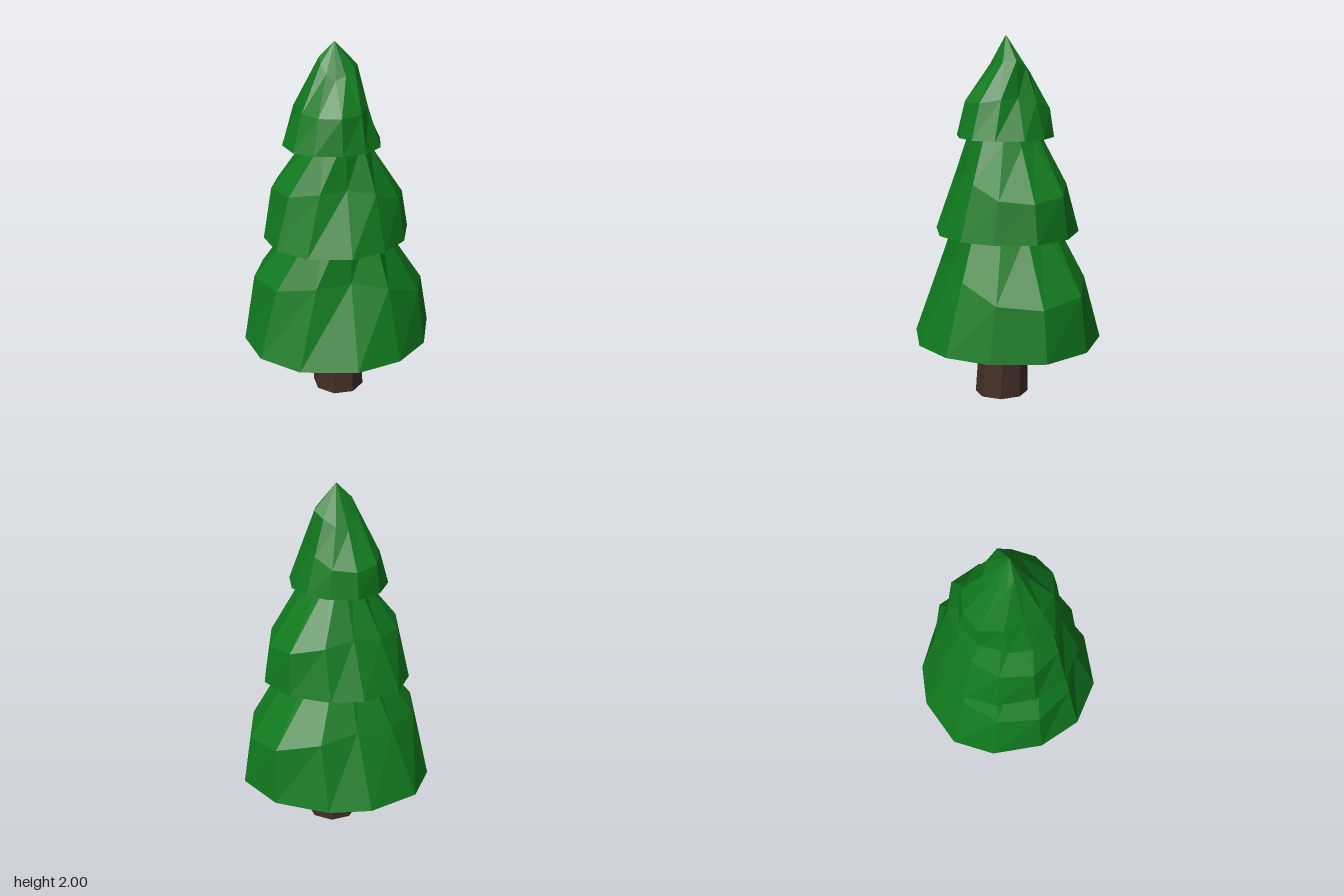
import * as THREE from 'three';

const SIDES = 12;

// Joins stacked rings (running +x toward +z) into one closed faceted skin.
function skin(rings, bottom, top) {
  const pos = [];
  const tri = (...pts) => pts.forEach((p) => pos.push(...p));
  const last = rings[rings.length - 1];
  for (let i = 0; i < SIDES; i++) {
    const j = (i + 1) % SIDES;
    tri(bottom, rings[0][i], rings[0][j]);
    for (let k = 0; k < rings.length - 1; k++) {
      const lo = rings[k], hi = rings[k + 1];
      tri(lo[i], hi[i], lo[j]);
      tri(hi[i], hi[j], lo[j]);
    }
    tri(last[i], top, last[j]);
  }
  const geo = new THREE.BufferGeometry();
  geo.setAttribute('position', new THREE.Float32BufferAttribute(pos, 3));
  geo.computeVertexNormals();
  return geo;
}

// Ring from [radius, height] pairs at even angles.
const polarRing = (pairs) => pairs.map(([r, h], i) => {
  const a = (i / SIDES) * Math.PI * 2;
  return [r * Math.cos(a), h, r * Math.sin(a)];
});

function foliageGeometry() {
  // Irregular hem
  const hem = [
    [0.537, 0], [0.431, 0.284], [0.241, 0.457], [-0.009, 0.526],
    [-0.31, 0.451], [-0.491, 0.256], [-0.537, 0], [-0.466, -0.284],
    [-0.305, -0.471], [-0.017, -0.532], [0.207, -0.468], [0.443, -0.273],
  ].map(([x, z]) => [x, 0, z]);
  // Bulging shoulder, pinched at the front
  const shoulder = polarRing([
    [0.49, 0.275], [0.465, 0.30], [0.40, 0.39], [0.325, 0.435],
    [0.39, 0.42], [0.45, 0.38], [0.475, 0.375], [0.45, 0.37],
    [0.41, 0.38], [0.365, 0.40], [0.42, 0.36], [0.49, 0.31],
  ]);
  // Crown just below the tip
  const crown = polarRing([
    [0.25, 0.64], [0.25, 0.68], [0.26, 0.75], [0.275, 0.81],
    [0.25, 0.80], [0.22, 0.74], [0.20, 0.70], [0.18, 0.76],
    [0.15, 0.85], [0.13, 0.91], [0.17, 0.80], [0.22, 0.68],
  ]);
  return skin([hem, shoulder, crown], [0, 0, 0], [-0.02, 1.07, 0.03]);
}

export function createModel() {
  const tree = new THREE.Group();
  tree.name = 'tree';
  const green = new THREE.MeshStandardMaterial({ color: 0x107a1e, flatShading: true });
  const brown = new THREE.MeshStandardMaterial({ color: 0x432e25, flatShading: true });

  // Trunk: tapered, leaning slightly back as it rises
  const trunkGeo = new THREE.CylinderGeometry(0.118, 0.136, 0.5, 8);
  trunkGeo.rotateY(Math.PI / 8);
  trunkGeo.translate(0, 0.25, 0);
  const p = trunkGeo.attributes.position;
  for (let i = 0; i < p.count; i++) {
    p.setX(i, p.getX(i) * 1.05 - 0.007);
    p.setZ(i, p.getZ(i) * 1.09 + 0.042 - p.getY(i) * 0.035);
  }
  trunkGeo.computeVertexNormals();
  const trunk = new THREE.Mesh(trunkGeo, brown);
  trunk.name = 'trunk';
  tree.add(trunk);

  // Three tiers share one shape; the top one is a quarter turn round
  const foliage = foliageGeometry();
  const tiers = [
    ['lowerFoliage', 0, 0.325, 1, 0],
    ['middleFoliage', -0.007, 0.93, 0.76, 0],
    ['upperFoliage', -0.034, 1.455, 0.51, Math.PI / 2],
  ];
  for (const [name, x, y, scale, turn] of tiers) {
    const tier = new THREE.Mesh(foliage, green);
    tier.name = name;
    tier.position.set(x, y, 0);
    tier.scale.setScalar(scale);
    tier.rotation.y = turn;
    tree.add(tier);
  }
  return tree;
}
